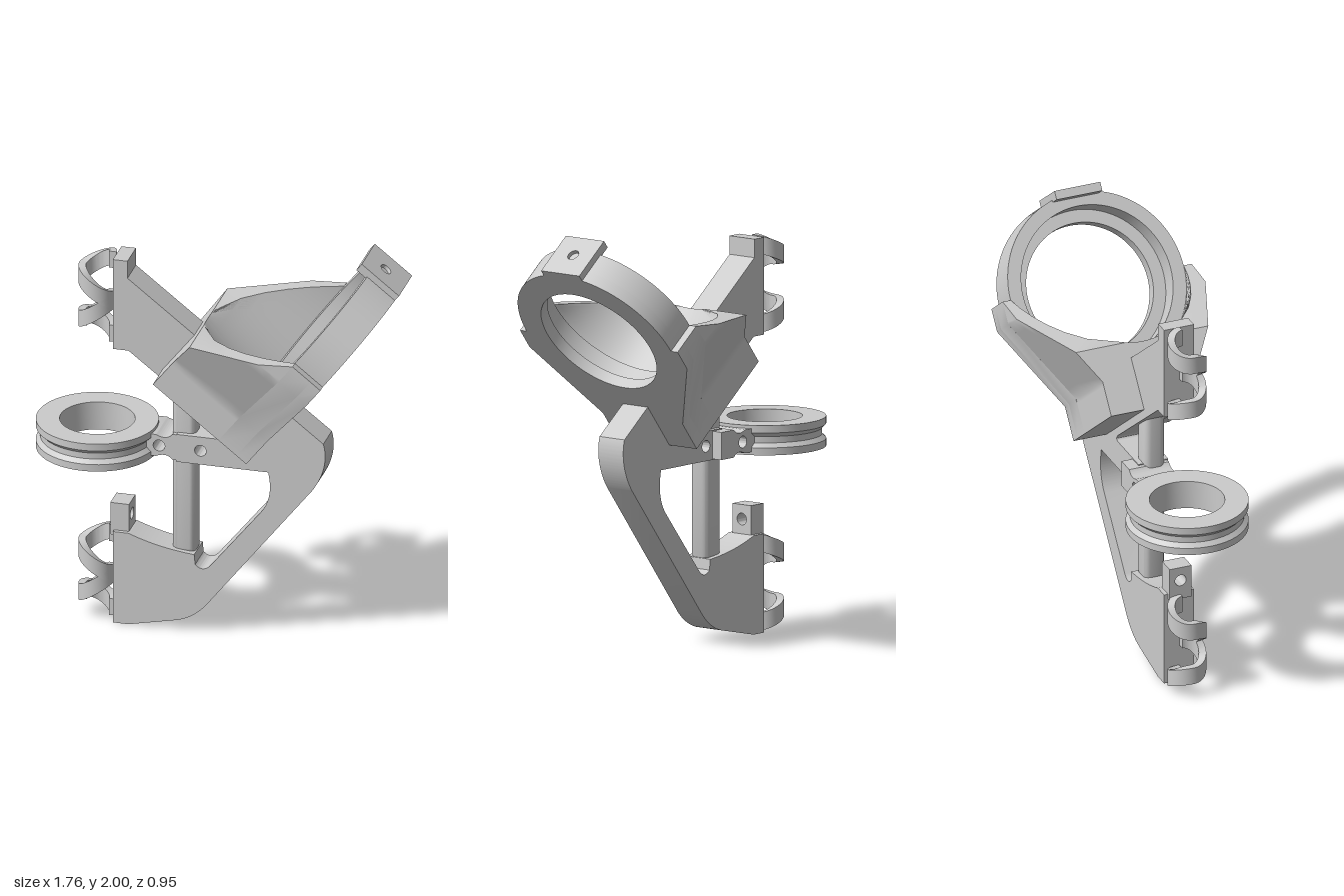
import * as THREE from 'three';
import { toCreasedNormals } from 'three/addons/utils/BufferGeometryUtils.js';
import { RoundedBoxGeometry } from 'three/addons/geometries/RoundedBoxGeometry.js';

const grey = new THREE.MeshStandardMaterial({ color: 0xcccccc, side: THREE.DoubleSide });

function mesh(name, geometry, parent, crease = 0.6) {
  const m = new THREE.Mesh(toCreasedNormals(geometry, crease), grey);
  m.name = name;
  parent.add(m);
  return m;
}

function circle(x, y, r) {
  return new THREE.Path().absarc(x, y, r, 0, Math.PI * 2, true);
}

function extrude(shape, depth) {
  return new THREE.ExtrudeGeometry(shape, { depth, bevelEnabled: false, curveSegments: 40 });
}

// Skin closed loops of points; ends are closed by pairing the two halves of the loop.
function loft(loops) {
  const pos = [];
  const quad = (a, b, c, d) => [a, b, c, a, c, d].forEach(p => pos.push(p.x, p.y, p.z));
  const n = loops[0].length;
  for (let s = 0; s < loops.length - 1; s++) {
    const a = loops[s], b = loops[s + 1];
    for (let i = 0; i < n; i++) {
      const j = (i + 1) % n;
      quad(a[i], a[j], b[j], b[i]);
    }
  }
  const first = loops[0], last = loops[loops.length - 1];
  for (let i = 0; i < n / 2 - 1; i++) {
    quad(first[i], first[n - 1 - i], first[n - 2 - i], first[i + 1]);
    quad(last[i], last[i + 1], last[n - 2 - i], last[n - 1 - i]);
  }
  const g = new THREE.BufferGeometry();
  g.setAttribute('position', new THREE.Float32BufferAttribute(pos, 3));
  g.computeVertexNormals();
  return g;
}

// Flat frame: lower foot, leaning spine, cross strut and sloping upper arm
function framePlate(parent) {
  const s = new THREE.Shape();
  s.moveTo(-0.5, 0);
  s.lineTo(-0.43, 0);
  s.lineTo(-0.2, 0.05);
  s.quadraticCurveTo(-0.12, 0.07, -0.06, 0.14);
  s.lineTo(0.45, 0.79);
  s.bezierCurveTo(0.5, 0.86, 0.53, 0.95, 0.505, 1.037);
  s.lineTo(-0.435, 1.77);
  s.lineTo(-0.435, 1.857);
  s.lineTo(-0.505, 1.857);
  s.lineTo(-0.505, 1.4);
  s.lineTo(-0.43, 1.4);
  s.lineTo(0.04, 1.035);
  s.quadraticCurveTo(0.08, 1.0, 0.03, 1.0);
  s.lineTo(-0.2, 1.0);
  s.lineTo(-0.2, 0.86);
  s.lineTo(0.24, 0.86);
  s.quadraticCurveTo(0.27, 0.73, 0.2, 0.645);
  s.lineTo(-0.04, 0.345);
  s.quadraticCurveTo(-0.075, 0.31, -0.11, 0.345);
  s.lineTo(-0.115, 0.395);
  s.quadraticCurveTo(-0.29, 0.41, -0.43, 0.465);
  s.lineTo(-0.505, 0.465);
  s.lineTo(-0.505, 0);
  s.holes.push(circle(-0.085, 0.93, 0.028));
  mesh('framePlate', extrude(s, 0.15).translate(0, 0, -0.075), parent);
}

// Tilted holder: x runs along its face, y along the axis of the ring
function ringHolder(parent) {
  const g = new THREE.Group();
  g.name = 'ringHolder';
  g.position.set(0.18, 0.97, 0);
  g.rotation.z = Math.atan2(0.786, 0.618);
  parent.add(g);
  const C = 0.68, R = 0.435;

  // Face plate and stepped ring
  for (const [name, from, to, r] of [['ringLip', 0, 0.06, 0.31], ['ringWall', 0.06, 0.17, 0.37]]) {
    const s = new THREE.Shape();
    s.moveTo(0, -0.24);
    s.lineTo(0.165, -0.24);
    s.lineTo(0.57, -0.475);
    s.lineTo(C, -0.475);
    s.lineTo(C, -R);
    s.absarc(C, 0, R, -Math.PI / 2, Math.PI / 2, false);
    s.lineTo(C, 0.475);
    s.lineTo(0.57, 0.475);
    s.lineTo(0.165, 0.24);
    s.lineTo(0, 0.24);
    s.holes.push(circle(C, 0, r));
    mesh(name, extrude(s, to - from).rotateX(-Math.PI / 2).translate(0, from, 0), g);
  }

  // Cradle: tapered bowl cut off by a slanted plane
  const half = u => u < 0.165 ? 0.24 : Math.min(0.475, 0.24 + (u - 0.165) * 0.58);
  const sub = 8;
  const loops = [0.17, 0.23, 0.294, 0.36, 0.43, 0.5, 0.57].map(v => {
    const t = (v - 0.17) / 0.4;
    const top = C - 0.355 * t, r = R - 0.071 * t;
    const knee = Math.min(0.57, top);
    const corners = [[top, -half(top)], [knee, -half(knee)], [0.165, -0.24], [0, -0.24],
      [0, 0.24], [0.165, 0.24], [knee, half(knee)], [top, half(top)]];
    const outer = [];
    for (let k = 0; k < 7; k++) {
      for (let i = 0; i < sub; i++) {
        const f = i / sub, a = corners[k], b = corners[k + 1];
        outer.push(new THREE.Vector3(a[0] + (b[0] - a[0]) * f, v, a[1] + (b[1] - a[1]) * f));
      }
    }
    outer.push(new THREE.Vector3(top, v, half(top)));
    const sweep = Math.acos(Math.min(1, (C - top) / r));
    const n = outer.length;
    const inner = outer.map((_, i) => {
      const a = sweep * (1 - 2 * i / (n - 1));
      return new THREE.Vector3(C - r * Math.cos(a), v, r * Math.sin(a));
    });
    return outer.concat(inner);
  });
  mesh('cradle', loft(loops), g);

  // Screw tab on top of the ring
  const tab = new THREE.Shape();
  tab.moveTo(-0.115, 0);
  tab.lineTo(0.115, 0);
  tab.lineTo(0.115, 0.228);
  tab.lineTo(-0.115, 0.228);
  tab.holes.push(circle(0, 0.12, 0.028));
  mesh('screwTab', extrude(tab, 0.042).rotateY(Math.PI / 2).translate(1.09, 0, 0), g);
}

// Horizontal grooved ring with its neck
function sideRing(parent) {
  const p = [[0.175, 0], [0.285, 0], [0.285, 0.035], [0.265, 0.055], [0.265, 0.085],
    [0.285, 0.105], [0.285, 0.14], [0.175, 0.14], [0.175, 0]].map(a => new THREE.Vector2(...a));
  mesh('groovedRing', new THREE.LatheGeometry(p, 64).translate(-0.6, 0.86, 0), parent);

  const s = new THREE.Shape();
  s.moveTo(-0.37, 0.875);
  s.lineTo(-0.3, 0.875);
  s.quadraticCurveTo(-0.25, 0.9, -0.22, 0.865);
  s.lineTo(-0.13, 0.865);
  s.lineTo(-0.13, 0.995);
  s.lineTo(-0.22, 0.995);
  s.quadraticCurveTo(-0.25, 0.96, -0.3, 0.985);
  s.lineTo(-0.37, 0.985);
  s.holes.push(circle(-0.285, 0.93, 0.028));
  mesh('ringNeck', extrude(s, 0.2).translate(0, 0, -0.13), parent);
}

// One turn of a flat strap around the vertical clip axis
function strap(parent, yStart, yLeft, yEnd) {
  const loops = [];
  for (let i = 0; i <= 48; i++) {
    const a = -i / 48 * Math.PI * 2, c = Math.cos(a), z = Math.sin(a);
    const y = yLeft + ((i < 24 ? yStart : yEnd) - yLeft) * (c + 1) / 2;
    const at = (r, h) => new THREE.Vector3(-0.598 + r * c, y + h, r * z);
    loops.push([at(0.055, -0.042), at(0.055, 0.042), at(0.09, 0.042), at(0.09, -0.042)]);
  }
  mesh('clipStrap', loft(loops), parent);
}

export function createModel() {
  const model = new THREE.Group();
  model.name = 'bracket';
  framePlate(model);
  ringHolder(model);
  sideRing(model);

  // Upright column between foot and upper arm
  mesh('column', new RoundedBoxGeometry(0.115, 0.92, 0.1, 3, 0.03).translate(-0.173, 0.84, 0), model);

  // Lug with a cross hole above the foot
  const lug = new THREE.Shape();
  lug.moveTo(-0.055, 0.44);
  lug.lineTo(0.055, 0.44);
  lug.lineTo(0.055, 0.603);
  lug.lineTo(-0.055, 0.603);
  lug.holes.push(circle(0, 0.535, 0.028));
  mesh('lug', extrude(lug, 0.09).rotateY(Math.PI / 2).translate(-0.523, 0, 0), model);

  // Two clips of weaving straps
  for (const [name, y] of [['lowerClip', 0], ['upperClip', 1.4]]) {
    const clip = new THREE.Group();
    clip.name = name;
    clip.position.y = y;
    strap(clip, 0.42, 0.345, 0.23);
    strap(clip, 0.042, 0.115, 0.23);
    model.add(clip);
  }
  return model;
}
